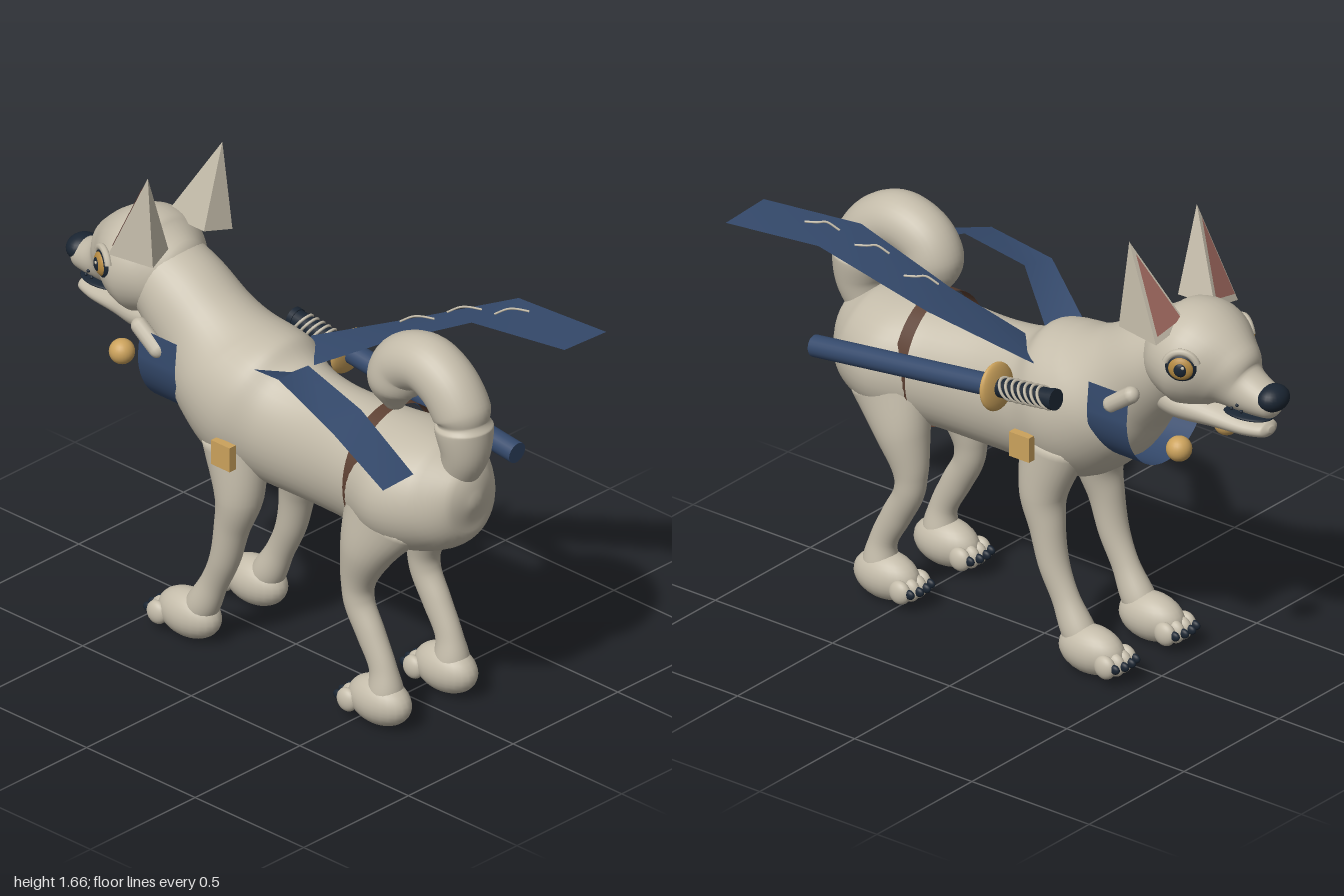
import * as THREE from 'three';

const mat = (name, color, side = THREE.FrontSide) => {
  const m = new THREE.MeshStandardMaterial({ color, side });
  m.name = name;
  return m;
};

export function createModel() {
  const fur = mat('fur', 0xc4bcaa, THREE.DoubleSide);
  const cloth = mat('blue cloth', 0x34496b, THREE.DoubleSide);
  const gold = mat('gold', 0xcba25c);
  const dark = mat('dark', 0x1a2532);
  const leather = mat('leather', 0x5c4032, THREE.DoubleSide);
  const pink = mat('inner ear', 0xa26a60, THREE.DoubleSide);
  const amber = mat('amber eye', 0xb58a42);

  const model = new THREE.Group();
  const dog = new THREE.Group();
  dog.name = 'dog';
  dog.position.x = -0.037;
  model.add(dog);

  const add = (parent, name, geo, material, x = 0, y = 0, z = 0) => {
    const m = new THREE.Mesh(geo, material);
    m.name = name;
    m.position.set(x, y, z);
    parent.add(m);
    return m;
  };
  const ball = (parent, name, material, x, y, z, rx, ry = rx, rz = rx) =>
    add(parent, name, new THREE.SphereGeometry(1, 24, 16).scale(rx, ry, rz), material, x, y, z);

  // Smooth skin over elliptical sections; each station is [x, y, z, rx, rOther]
  const loft = (stations, rows = 48, n = 32) => {
    const path = new THREE.CatmullRomCurve3(stations.map(s => new THREE.Vector3(s[0], s[1], s[2])));
    const radii = new THREE.CatmullRomCurve3(stations.map((s, i) => new THREE.Vector3(s[3], s[4] ?? s[3], i)));
    const pos = [], idx = [], side = new THREE.Vector3(1, 0, 0);
    for (let i = -1; i <= rows + 1; i++) {
      const t = Math.min(1, Math.max(0, i / rows));
      const cap = i < 0 || i > rows ? 0 : 1;
      const c = path.getPoint(t), r = radii.getPoint(t);
      const up = path.getTangent(t).cross(side).normalize();
      for (let j = 0; j < n; j++) {
        const a = j / n * Math.PI * 2;
        const p = c.clone()
          .addScaledVector(side, Math.cos(a) * Math.max(0.002, r.x) * cap)
          .addScaledVector(up, Math.sin(a) * Math.max(0.002, r.y) * cap);
        pos.push(p.x, p.y, p.z);
      }
    }
    for (let i = 0; i < rows + 2; i++) for (let j = 0; j < n; j++) {
      const a = i * n + j, b = i * n + (j + 1) % n;
      idx.push(a, b, a + n, b, b + n, a + n);
    }
    const g = new THREE.BufferGeometry();
    g.setAttribute('position', new THREE.Float32BufferAttribute(pos, 3));
    g.setIndex(idx);
    g.computeVertexNormals();
    return g;
  };

  // Flat-shaded faces from loose triangles
  const facets = (...tris) => {
    const g = new THREE.BufferGeometry();
    g.setAttribute('position', new THREE.Float32BufferAttribute(tris.flat(2), 3));
    g.computeVertexNormals();
    return g;
  };

  // Torso, chest and neck
  add(dog, 'torso', loft([
    [0, .88, .87, .02, .02], [0, .88, .84, .11, .12], [0, .865, .75, .2, .19], [0, .85, .6, .25, .22],
    [0, .85, .42, .2, .22], [0, .85, .2, .175, .225], [0, .865, .02, .205, .235], [0, .9, -.11, .237, .27],
    [0, .965, -.24, .225, .24], [0, 1.06, -.36, .18, .19], [0, 1.16, -.48, .165, .165], [0, 1.23, -.58, .15, .14],
  ], 80, 40), fur);

  // Head, jaw, nose
  add(dog, 'head', loft([
    [0, 1.25, -.44, .02, .02], [0, 1.25, -.47, .1, .1], [0, 1.24, -.54, .17, .16], [0, 1.235, -.63, .196, .185],
    [0, 1.22, -.7, .175, .17], [0, 1.195, -.77, .12, .135], [0, 1.165, -.825, .083, .09],
    [0, 1.145, -.9, .068, .065], [0, 1.14, -.95, .055, .052], [0, 1.14, -.965, .03, .03],
  ], 60, 36), fur);
  add(dog, 'lowerJaw', loft([
    [0, 1.08, -.46, .09, .08], [0, 1.065, -.6, .125, .075], [0, 1.045, -.74, .09, .048],
    [0, 1.035, -.86, .066, .034], [0, 1.038, -.925, .045, .026], [0, 1.04, -.94, .015, .01],
  ]), fur);
  ball(dog, 'mouth', dark, 0, 1.077, -.84, .066, .012, .1);
  ball(dog, 'nose', dark, 0, 1.16, -.945, .063, .046, .052);

  // Curled tail
  add(dog, 'tail', loft([
    [0, .94, .78, .06], [0, 1.05, .815, .085], [0, 1.14, .81, .1], [0, 1.16, .808, .088], [0, 1.19, .8, .1],
    [0, 1.27, .74, .102], [0, 1.315, .64, .102], [0, 1.275, .53, .1], [0, 1.19, .495, .095], [0, 1.1, .49, .03],
  ], 64), fur);

  for (const s of [-1, 1]) {
    const side = s > 0 ? 'left' : 'right';

    // Legs and paws
    add(dog, side + 'FrontLeg', loft([
      [s * .125, .8, -.12, .1, .13], [s * .145, .6, -.085, .082, .085], [s * .155, .48, -.108, .062, .062],
      [s * .158, .35, -.138, .052, .053], [s * .158, .24, -.187, .044, .05], [s * .158, .14, -.24, .055, .06],
      [s * .158, .07, -.29, .05, .05]]), fur);
    add(dog, side + 'HindLeg', loft([
      [s * .13, .8, .58, .1, .17], [s * .15, .64, .515, .088, .105], [s * .156, .5, .475, .06, .062],
      [s * .158, .42, .48, .052, .053], [s * .158, .32, .532, .046, .053], [s * .158, .21, .588, .044, .05],
      [s * .158, .12, .6, .06, .065], [s * .158, .06, .59, .05, .05]]), fur);
    for (const [name, z] of [['FrontPaw', -.3], ['HindPaw', .575]]) {
      ball(dog, side + name, fur, s * .158, .085, z, .078, .085, .128);
      for (let i = 0; i < 4; i++) {
        const dx = (i - 1.5) * .036, dz = -.115 + Math.abs(dx) * .3;
        ball(dog, side + name + 'Toe', fur, s * .158 + dx, .068, z + dz, .026, .042, .042);
        ball(dog, side + name + 'Claw', dark, s * .158 + dx, .072, z + dz - .04, .012, .017, .022);
      }
    }

    // Pointed ears with coloured inner face
    const of = [s * .216, 1.335, -.62], nf = [s * .075, 1.37, -.635];
    const ob = [s * .19, 1.34, -.44], nb = [s * .085, 1.36, -.47], tip = [s * .178, 1.66, -.475];
    add(dog, side + 'Ear', facets([of, nf, tip], [nf, nb, tip], [nb, ob, tip], [ob, of, tip]), fur);
    const mid = [0, 1, 2].map(k => (of[k] + nf[k] + tip[k]) / 3);
    const inner = [of, nf, tip].map(p => p.map((v, k) => mid[k] + (v - mid[k]) * .8 + [0, .002, -.005][k]));
    add(dog, side + 'InnerEar', facets(inner), pink);

    // Eyes, lids and whisker spots
    const eye = new THREE.Group();
    eye.name = side + 'Eye';
    eye.position.set(s * .168, 1.257, -.69);
    eye.rotation.y = Math.atan2(s * .9, -.45);
    dog.add(eye);
    ball(eye, 'eyeRim', dark, 0, 0, 0, .056, .052, .02);
    ball(eye, 'iris', amber, 0, 0, .008, .044, .042, .02);
    ball(eye, 'pupil', dark, 0, 0, .02, .024, .026, .012);
    ball(eye, 'glint', fur, .01, .012, .03, .006, .006, .004);
    const lid = add(eye, 'eyelid', new THREE.TorusGeometry(.056, .013, 8, 24, Math.PI * .8), fur);
    lid.rotation.z = Math.PI * .1;
    for (const [y, z] of [[1.115, -.83], [1.11, -.865], [1.13, -.85]])
      ball(dog, side + 'WhiskerSpot', dark, s * (.078 - (-z - .83) * .25), y, z, .006);

    // Collar knots, bells and harness buckles
    const knot = add(dog, side + 'CollarKnot', new THREE.CapsuleGeometry(.03, .1, 6, 12), fur, s * .195, 1.075, -.455);
    knot.rotation.x = -.95;
    ball(dog, side + 'Bell', gold, s * .125, .925, -.645, .044);
    add(dog, side + 'Buckle', new THREE.BoxGeometry(.03, .09, .085), gold, s * .24, .797, -.067);
  }

  // Collar band hanging under the throat
  const collar = [];
  for (let i = 0; i <= 28; i++) {
    const a = Math.PI * (i / 28);
    collar.push([-Math.cos(a) * .21, 1.0 - Math.sin(a) * .22]);
  }
  collar.unshift([-.2, 1.1]);
  collar.push([.2, 1.1]);
  const sheet = (left, right) => {
    const g = new THREE.BufferGeometry(), idx = [];
    g.setAttribute('position', new THREE.Float32BufferAttribute(left.flatMap((p, i) => [...p, ...right[i]]), 3));
    for (let i = 0; i < left.length - 1; i++) idx.push(2 * i, 2 * i + 2, 2 * i + 1, 2 * i + 1, 2 * i + 2, 2 * i + 3);
    g.setIndex(idx);
    g.computeVertexNormals();
    return g;
  };
  add(dog, 'collar', sheet(collar.map(p => [...p, -.32]), collar.map(p => [...p, -.49])), cloth);

  // Leather strap round the loins
  const strap = new THREE.CylinderGeometry(1, 1, .052, 48, 1, true).rotateX(Math.PI / 2).scale(.213, .24, 1);
  add(dog, 'strap', strap, leather, 0, .86, .48);

  // Two flying scarf ends
  add(model, 'leftScarfEnd', sheet(
    [[-.015, 1.07, .06], [.1, 1.22, .32], [.175, 1.385, .64], [.245, 1.39, 1]],
    [[.145, 1.08, -.07], [.285, 1.22, .27], [.4, 1.39, .64], [.445, 1.38, 1]]), cloth);
  add(model, 'rightScarfEnd', sheet(
    [[-.17, 1.09, -.04], [-.31, 1.2, .22], [-.41, 1.17, .56], [-.445, 1.065, .83]],
    [[-.08, 1.08, .06], [-.19, 1.215, .24], [-.27, 1.2, .56], [-.3, 1.07, .83]]), cloth);
  for (const [x, y, z] of [[.205, 1.285, .36], [.255, 1.365, .53], [.295, 1.41, .71]]) {
    const curve = new THREE.CatmullRomCurve3([[-.03, -.02, -.05], [-.01, .006, -.01], [.01, .006, .01], [.03, .004, .05]]
      .map(p => new THREE.Vector3(x + p[0], y + p[1], z + p[2])));
    add(model, 'scarfStitch', new THREE.TubeGeometry(curve, 12, .004, 6), fur);
  }

  // Sheathed sword at the flank
  const sword = new THREE.Group();
  sword.name = 'sword';
  sword.position.set(.248, 1.012, .005);
  sword.rotation.x = .122;
  model.add(sword);
  const rod = (name, r, len, z, material) =>
    add(sword, name, new THREE.CylinderGeometry(r, r, len, 24).rotateX(Math.PI / 2), material, 0, 0, z);
  rod('scabbard', .038, .78, .39, cloth);
  rod('handle', .034, .25, -.13, dark);
  rod('pommel', .037, .02, -.247, dark);
  ball(sword, 'guard', gold, 0, 0, 0, .084, .084, .022);
  for (let i = 0; i < 7; i++) {
    const wrap = add(sword, 'handleWrap', new THREE.TorusGeometry(.036, .0055, 6, 24).scale(1, 1.12, 1), fur, 0, 0, -.05 - i * .027);
    wrap.rotation.x = .5;
  }
  return model;
}
